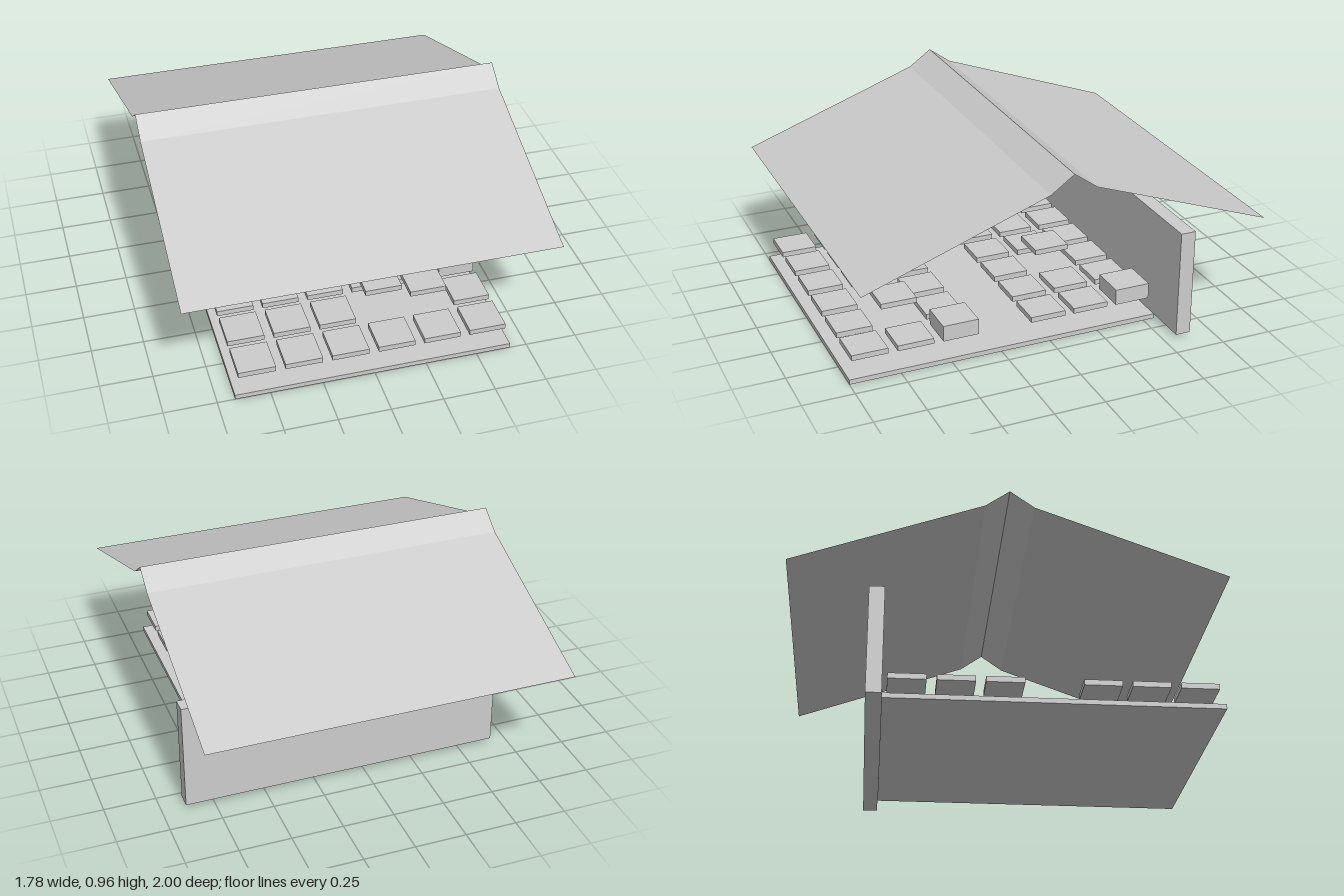
import * as THREE from 'three';

export function createModel() {
  const model = new THREE.Group();
  const grey = new THREE.MeshStandardMaterial({ color: 0xcccccc, flatShading: true });
  grey.name = 'light grey';
  const sheetGrey = new THREE.MeshStandardMaterial({ color: 0xcccccc, flatShading: true, side: THREE.DoubleSide });
  sheetGrey.name = 'light grey sheet';

  // box from its minimum and maximum corners
  function box(name, min, max) {
    const size = max.map((v, i) => v - min[i]);
    const mesh = new THREE.Mesh(new THREE.BoxGeometry(...size), grey);
    mesh.position.set(...max.map((v, i) => (v + min[i]) / 2));
    mesh.name = name;
    model.add(mesh);
  }

  box('floor', [-0.667, 0, -0.556], [0.667, 0.024, 1]);
  box('backWall', [-0.667, 0.024, -0.63], [0.889, 0.557, -0.556]);

  // thin folded roof: two slopes on each side of the ridge
  const profile = [[1, 0.557], [0.113, 0.876], [0, 0.957], [-0.113, 0.876], [-1, 0.557]];
  const points = [], w = 0.889;
  for (let i = 0; i < profile.length - 1; i++) {
    const [z0, y0] = profile[i], [z1, y1] = profile[i + 1];
    points.push(-w, y0, z0, w, y0, z0, w, y1, z1, -w, y0, z0, w, y1, z1, -w, y1, z1);
  }
  const roofGeometry = new THREE.BufferGeometry();
  roofGeometry.setAttribute('position', new THREE.Float32BufferAttribute(points, 3));
  roofGeometry.computeVertexNormals();
  const roof = new THREE.Mesh(roofGeometry, sheetGrey);
  roof.name = 'roof';
  model.add(roof);

  // floating tiles: two fields of three rows by six columns, with an aisle between
  const step = 0.2225, half = 0.0885;
  const raised = { '4,1': 0.209, '3,1': 0.262, '3,5': 0.209 };
  for (const row of [0, 1, 2, 4, 5, 6]) {
    for (let col = 0; col < 6; col++) {
      const x = (col - 2.5) * step, z = 0.89 - row * step;
      const bottom = raised[`${col},${row}`] ?? 0.106;
      const isBlock = col === 5 && (row === 2 || row === 6);
      const height = isBlock ? 0.079 : 0.027;
      box(isBlock ? 'block' : 'tile', [x - half, bottom, z - half], [x + half, bottom + height, z + half]);
    }
  }
  return model;
}
